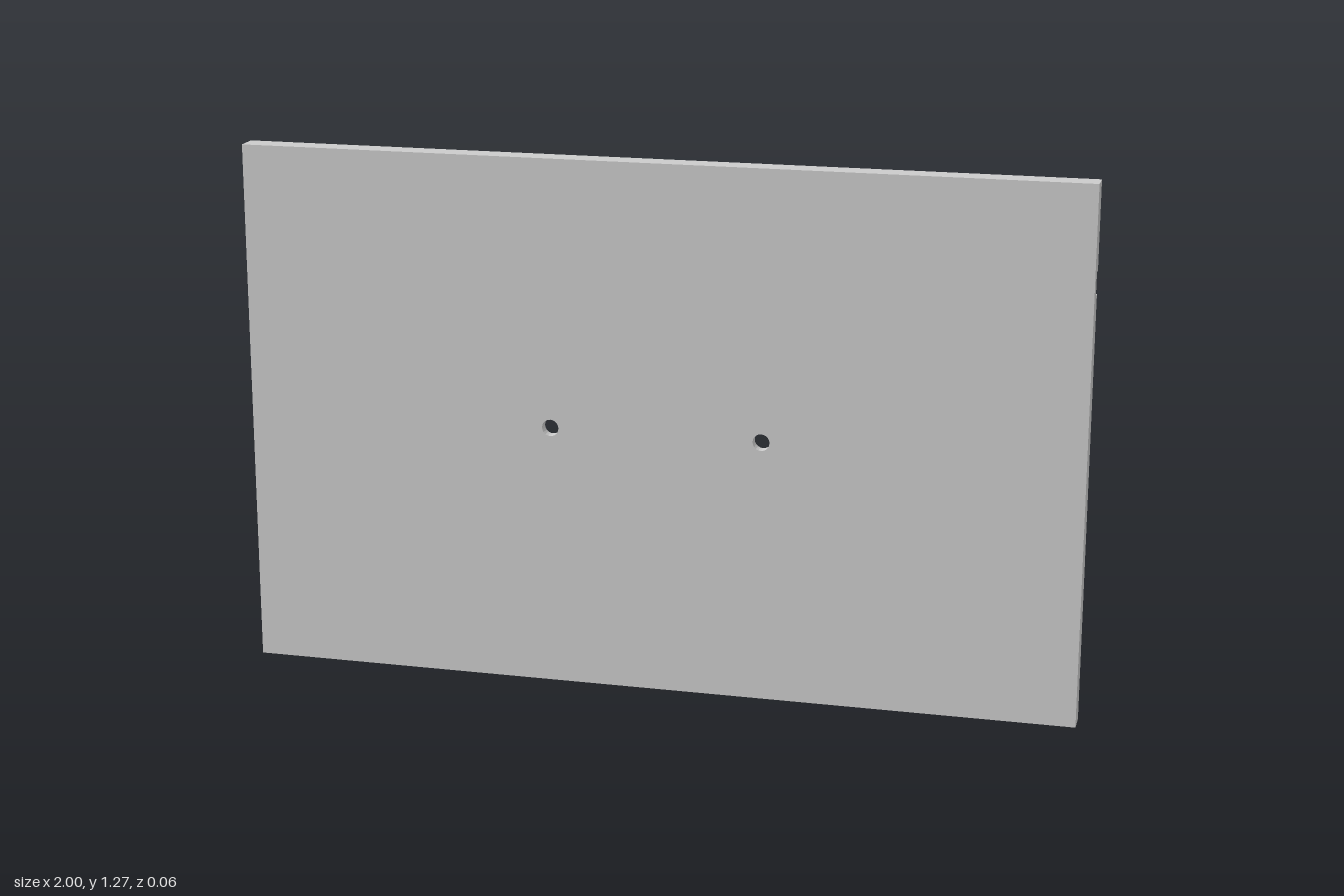
import * as THREE from 'three';

const H = 1.27, FRONT = 0.028, FLOOR = 0.013, MID = -0.006, BACK = -0.028;
const mat = new THREE.MeshStandardMaterial({ color: 0xcccccc, flatShading: true });

// Wide channels (sloped walls), narrow channels (shallow), hook and screw positions
const WIDE = [-0.757, -0.508, -0.253, 0, 0.253, 0.508, 0.757], WIDE_HALF = 0.059, WIDE_TOP = 1.222;
const NARROW = [-0.145, 0.145], NARROW_HALF = 0.031, NARROW_TOP = 1.2;
const SCREWS = [-0.253, 0.253], SCREW_Y = 0.63;
const SLOPE = 0.022;

function toPath(points, Type = THREE.Path) {
  return new Type(points.map(([x, y]) => new THREE.Vector2(x, y)));
}

function rect(x, y, w, h) {
  return toPath([[x - w / 2, y - h / 2], [x + w / 2, y - h / 2], [x + w / 2, y + h / 2], [x - w / 2, y + h / 2]]);
}

function circle(x, y, r) {
  return new THREE.Path().absarc(x, y, r, 0, Math.PI * 2);
}

// Vertical slot with rounded ends
function slot(x, y0, y1, r) {
  const p = new THREE.Path();
  p.absarc(x, y1 - r, r, 0, Math.PI);
  p.absarc(x, y0 + r, r, Math.PI, Math.PI * 2);
  p.closePath();
  return p;
}

// Hook pocket: wide head with a narrower tail
function hook(x, y) {
  return toPath([[x - 0.011, y], [x + 0.011, y], [x + 0.011, y + 0.045], [x + 0.019, y + 0.045],
    [x + 0.019, y + 0.108], [x + 0.011, y + 0.116], [x - 0.011, y + 0.116], [x - 0.019, y + 0.108],
    [x - 0.019, y + 0.045], [x - 0.011, y + 0.045]]);
}

function slab(name, shape, holes, z0, z1) {
  shape.holes.push(...holes);
  const g = new THREE.ExtrudeGeometry(shape, { depth: z1 - z0, bevelEnabled: false, curveSegments: 10 });
  g.translate(0, 0, z0);
  const m = new THREE.Mesh(g, mat);
  m.name = name;
  return m;
}

// Bottom edge running left to right, interrupted by open-ended channels
function bottomEdge(channels) {
  return channels.sort((a, b) => a[0] - b[0]).flatMap(([x, half, top]) =>
    [[x - half, 0], [x - half, top], [x + half, top], [x + half, 0]]);
}

export function createModel() {
  const group = new THREE.Group();
  group.name = 'panel';
  const wide = WIDE.map(x => [x, WIDE_HALF, WIDE_TOP]);
  const narrow = NARROW.map(x => [x, NARROW_HALF, NARROW_TOP]);

  // Smooth front plate with two screw holes
  group.add(slab('frontPlate', toPath([[-1, 0], [1, 0], [1, H], [-1, H]], THREE.Shape),
    SCREWS.map(x => circle(x, SCREW_Y, 0.02)), FLOOR, FRONT));

  // Middle layer, cut only by the wide channels
  group.add(slab('middleLayer', toPath([[-1, 0], ...bottomEdge([...wide]), [1, 0], [1, H], [-1, H]], THREE.Shape),
    [], MID, FLOOR));

  // Back layer: outline steps around the side notches and outer narrow channels
  const side = [[0.836, 0], [0.836, 1.2], [0.9, 1.2], [0.9, 1.175], [0.878, 1.145], [0.9, 1.125],
    [0.9, 1.065], [1, 1.065], [1, H]];
  const otherSide = side.map(([x, y]) => [-x, y]).reverse();
  const pockets = [];
  for (const s of [-1, 1]) {
    pockets.push(slot(s * 0.952, 1.08, 1.24, 0.013), slot(s * 0.915, 1.12, 1.235, 0.006));
    for (const x of [0.34, 0.663]) for (const y of [0.075, 1.088]) pockets.push(hook(s * x, y));
    pockets.push(rect(s * 0.6, 1.19, 0.03, 0.036), rect(s * 0.6, 1.13, 0.03, 0.036));
  }
  group.add(slab('backLayer', toPath([...bottomEdge([...wide, ...narrow]), ...side, ...otherSide], THREE.Shape),
    pockets, BACK, MID));

  // Edge strips below the side notches
  for (const s of [-1, 1]) {
    const strip = new THREE.Mesh(new THREE.BoxGeometry(0.1, 1.012, MID - BACK), mat);
    strip.position.set(s * 0.95, 0.506, (MID + BACK) / 2);
    strip.name = s > 0 ? 'leftEdgeStrip' : 'rightEdgeStrip';
    group.add(strip);
  }

  // Sloped walls of the wide channels: triangular prisms
  for (const x of WIDE) for (const s of [-1, 1]) {
    const edge = x + s * WIDE_HALF;
    // Shape y becomes -z once the prism is turned upright
    const tri = toPath([[edge, -BACK], [edge, -FLOOR], [edge - s * SLOPE, -FLOOR]], THREE.Shape);
    const g = new THREE.ExtrudeGeometry(tri, { depth: WIDE_TOP, bevelEnabled: false });
    g.rotateX(-Math.PI / 2);
    const wall = new THREE.Mesh(g, mat);
    wall.name = 'channelWall';
    group.add(wall);
  }

  // Screw bosses: block with a square recess around the hole
  for (const x of SCREWS) {
    const block = (w, h) => toPath([[x - w, SCREW_Y - h], [x + w, SCREW_Y - h],
      [x + w, SCREW_Y + h], [x - w, SCREW_Y + h]], THREE.Shape);
    group.add(slab('screwBoss', block(0.042, 0.036), [circle(x, SCREW_Y, 0.02)], 0.003, FLOOR));
    group.add(slab('screwBossFrame', block(0.042, 0.036), [rect(x, SCREW_Y, 0.05, 0.05)], -0.01, 0.003));
  }
  return group;
}
